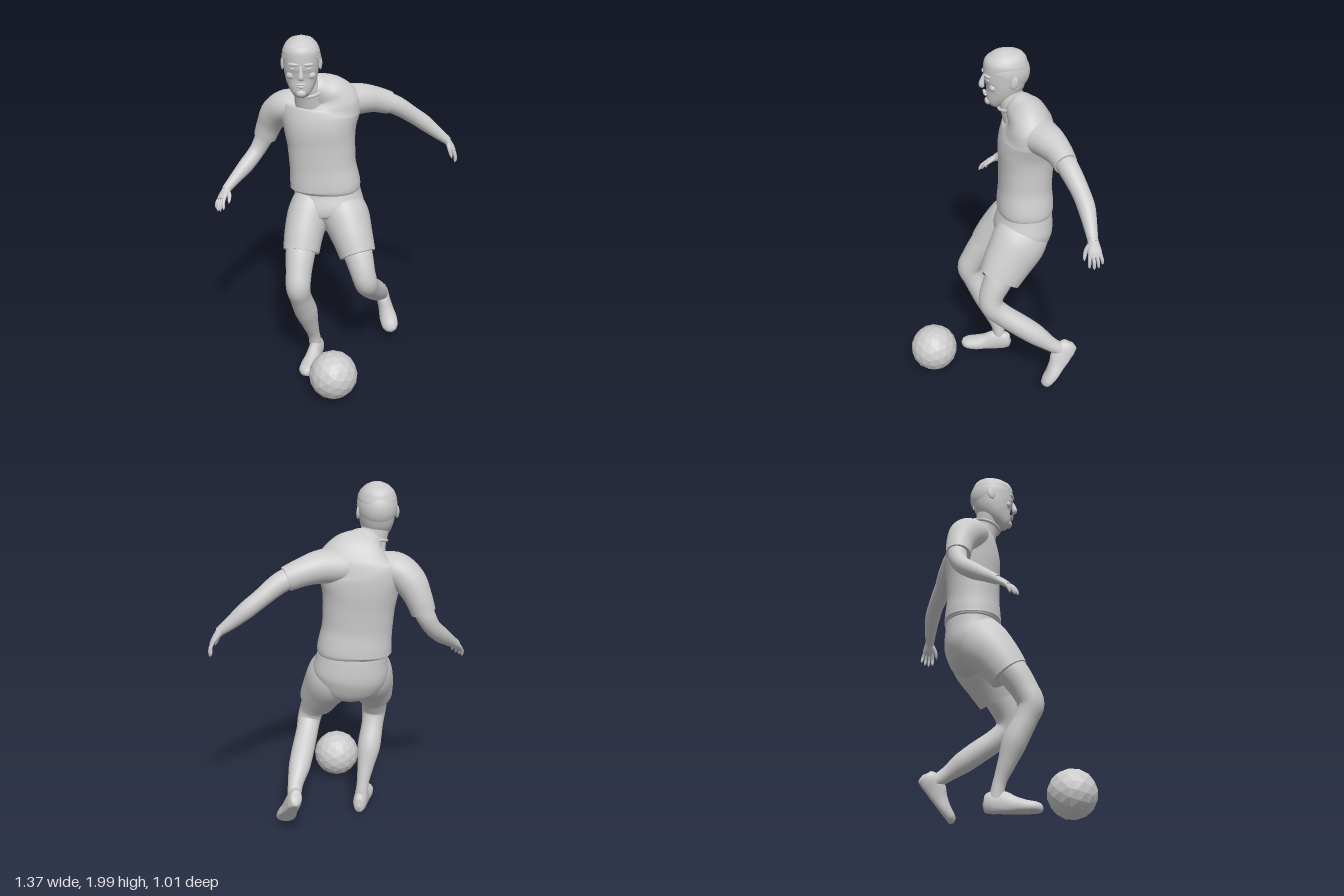
import * as THREE from 'three';

const V = (x, y, z) => new THREE.Vector3(x, y, z);
const material = new THREE.MeshStandardMaterial({ color: 0xcccccc, side: THREE.DoubleSide });

function addMesh(parent, name, geometry) {
  const mesh = new THREE.Mesh(geometry, material);
  mesh.name = name;
  parent.add(mesh);
  return mesh;
}

// Smooth tube through stations [x, y, z, radiusA, radiusB]; radiusA lies along `side`
function loft(stations, { side = V(1, 0, 0), seg = 28, sub = 5, power = 2 } = {}) {
  const path = new THREE.CatmullRomCurve3(stations.map(s => V(s[0], s[1], s[2])));
  const radii = new THREE.CatmullRomCurve3(stations.map(s => V(s[3], s[4] ?? s[3], 0)));
  const rings = (stations.length - 1) * sub;
  const pos = [], index = [];
  const sup = c => Math.sign(c) * Math.abs(c) ** (2 / power);
  for (let i = 0; i <= rings; i++) {
    const c = path.getPoint(i / rings), r = radii.getPoint(i / rings), t = path.getTangent(i / rings);
    const s = side.clone().addScaledVector(t, -side.dot(t)).normalize();
    const u = t.clone().cross(s);
    for (let j = 0; j < seg; j++) {
      const a = j / seg * Math.PI * 2;
      const p = c.clone().addScaledVector(s, r.x * sup(Math.cos(a))).addScaledVector(u, r.y * sup(Math.sin(a)));
      pos.push(p.x, p.y, p.z);
      if (i < rings) {
        const k = i * seg, n = (j + 1) % seg;
        index.push(k + j, k + n, k + seg + n, k + j, k + seg + n, k + seg + j);
      }
    }
  }
  // End caps with their own corners so the rim stays sharp
  for (const [ring, end] of [[0, 0], [rings, stations.length - 1]]) {
    const base = pos.length / 3;
    pos.push(...pos.slice(ring * seg * 3, (ring + 1) * seg * 3), ...stations[end].slice(0, 3));
    for (let j = 0; j < seg; j++) {
      const n = (j + 1) % seg;
      index.push(base + seg, base + (ring ? j : n), base + (ring ? n : j));
    }
  }
  const g = new THREE.BufferGeometry();
  g.setAttribute('position', new THREE.Float32BufferAttribute(pos, 3));
  g.setIndex(index);
  g.computeVertexNormals();
  return g;
}

function blob(parent, name, [x, y, z], [rx, ry, rz]) {
  const m = addMesh(parent, name, new THREE.SphereGeometry(1, 20, 14));
  m.position.set(x, y, z);
  m.scale.set(rx, ry, rz);
  return m;
}

// Group whose local z runs along `dir` and local x along `side`
function orientedGroup(parent, name, origin, dir, side) {
  const g = new THREE.Group();
  g.name = name;
  const z = dir.clone().normalize();
  const x = side.clone().addScaledVector(z, -side.dot(z)).normalize();
  g.quaternion.setFromRotationMatrix(new THREE.Matrix4().makeBasis(x, z.clone().cross(x), z));
  g.position.copy(origin);
  parent.add(g);
  return g;
}

// Palm, four fingers and a thumb; the thumb is on the `side` edge
function hand(parent, name, wrist, dir, side, curl) {
  const g = orientedGroup(parent, name, wrist, dir, side);
  addMesh(g, 'palm', loft([[0, 0, -0.02, 0.026, 0.024], [0, 0, 0.02, 0.031, 0.02],
    [0, 0, 0.055, 0.036, 0.017], [0, 0, 0.08, 0.033, 0.011]], { seg: 18 }));
  [0.028, 0.0095, -0.009, -0.027].forEach((x, i) => {
    const l = [0.068, 0.078, 0.074, 0.058][i];
    addMesh(g, 'finger', loft([[x * 0.9, 0, 0.06, 0.01], [x * 1.15, curl * 0.007, 0.07 + l * 0.45, 0.0092],
      [x * 1.25, curl * 0.022, 0.066 + l * 0.85, 0.008], [x * 1.25, curl * 0.03, 0.066 + l, 0.002]], { seg: 10, sub: 4 }));
  });
  addMesh(g, 'thumb', loft([[0.016, 0, 0.012, 0.014], [0.04, curl * 0.01, 0.04, 0.012],
    [0.053, curl * 0.02, 0.075, 0.009], [0.056, curl * 0.025, 0.092, 0.002]], { seg: 10, sub: 4 }));
}

// Shoe with a flat sole at local y = 0, heel at local z = 0
function foot(parent, name, heel, dir, side) {
  const g = orientedGroup(parent, name, heel, dir, side);
  const shoe = loft([[0, 0.045, 0, 0.004, 0.004], [0, 0.045, 0.012, 0.03, 0.045], [0, 0.05, 0.05, 0.041, 0.066],
    [0, 0.045, 0.1, 0.042, 0.07], [0, 0.03, 0.16, 0.046, 0.056], [0, 0.02, 0.22, 0.054, 0.045],
    [0, 0.018, 0.275, 0.05, 0.036], [0, 0.018, 0.305, 0.03, 0.024], [0, 0.018, 0.316, 0.003, 0.003]]);
  const p = shoe.attributes.position;
  for (let i = 0; i < p.count; i++) p.setY(i, Math.max(p.getY(i), 0));
  shoe.computeVertexNormals();
  addMesh(g, 'shoe', shoe);
}

function buildHead(parent) {
  const head = new THREE.Group();
  head.name = 'head';
  head.position.set(-0.185, 0, -0.062);
  head.rotation.y = 0.13;
  parent.add(head);
  addMesh(head, 'skull', loft([[0, 1.685, 0.085, 0.018, 0.015], [0, 1.695, 0.076, 0.042, 0.036],
    [0, 1.725, 0.055, 0.064, 0.062], [0, 1.765, 0.03, 0.083, 0.09], [0, 1.81, 0.012, 0.093, 0.112],
    [0, 1.865, 0.003, 0.099, 0.12], [0, 1.915, 0, 0.102, 0.121], [0, 1.955, -0.003, 0.088, 0.106],
    [0, 1.983, -0.003, 0.06, 0.073], [0, 1.995, -0.003, 0.01, 0.01]], { seg: 36, power: 2.15 }));
  // Close-cropped hair cap, tipped back
  const hair = addMesh(head, 'hair', new THREE.SphereGeometry(1, 40, 20, 0, Math.PI * 2, 0, Math.PI * 0.53));
  hair.scale.set(0.107, 0.122, 0.129);
  hair.position.set(0, 1.878, -0.002);
  hair.rotation.x = -0.43;
  addMesh(head, 'nose', loft([[0, 1.865, 0.118, 0.008, 0.008], [0, 1.835, 0.128, 0.011, 0.013],
    [0, 1.805, 0.133, 0.018, 0.016], [0, 1.793, 0.126, 0.014, 0.01]], { seg: 14 }));
  blob(head, 'upperLip', [0, 1.763, 0.117], [0.029, 0.006, 0.01]);
  blob(head, 'lowerLip', [0, 1.75, 0.114], [0.024, 0.007, 0.01]);
  blob(head, 'chin', [0, 1.708, 0.1], [0.028, 0.02, 0.017]);
  for (const s of [-1, 1]) {
    blob(head, 'brow', [s * 0.04, 1.872, 0.11], [0.031, 0.009, 0.014]).rotation.y = s * 0.35;
    blob(head, 'eye', [s * 0.039, 1.847, 0.104], [0.018, 0.008, 0.012]);
    blob(head, 'cheek', [s * 0.053, 1.806, 0.083], [0.026, 0.022, 0.02]);
    const ear = blob(head, 'ear', [s * 0.103, 1.845, -0.022], [0.01, 0.037, 0.022]);
    ear.rotation.set(-0.2, s * -0.25, 0);
  }
}

export function createModel() {
  const model = new THREE.Group();
  model.name = 'footballer';
  const along = V(0, 0, 1);

  // Head and neck
  buildHead(model);
  addMesh(model, 'neck', loft([[-0.15, 1.6, -0.125, 0.085, 0.08], [-0.16, 1.69, -0.095, 0.075, 0.07],
    [-0.178, 1.76, -0.08, 0.073, 0.072], [-0.183, 1.82, -0.075, 0.07, 0.07]]));
  const collar = addMesh(model, 'collar', new THREE.TorusGeometry(0.08, 0.009, 10, 36));
  collar.position.set(-0.158, 1.695, -0.097);
  collar.rotation.x = Math.PI / 2 + 0.29;

  // Shirt body, with the hem hanging over the shorts
  addMesh(model, 'shirtBody', loft([[-0.07, 1.085, -0.165, 0.192, 0.148], [-0.07, 1.105, -0.165, 0.204, 0.16],
    [-0.075, 1.15, -0.165, 0.2, 0.158], [-0.085, 1.24, -0.165, 0.191, 0.15], [-0.093, 1.36, -0.168, 0.194, 0.152],
    [-0.1, 1.46, -0.17, 0.207, 0.158], [-0.1, 1.55, -0.178, 0.226, 0.15], [-0.095, 1.61, -0.178, 0.222, 0.132],
    [-0.105, 1.655, -0.165, 0.17, 0.108], [-0.13, 1.69, -0.135, 0.105, 0.085], [-0.155, 1.71, -0.11, 0.07, 0.066]],
    { seg: 44, power: 2.3 }));
  // Sleeves
  addMesh(model, 'leftSleeve', loft([[-0.1, 1.585, -0.18, 0.11, 0.085], [0.02, 1.595, -0.215, 0.115, 0.092],
    [0.12, 1.597, -0.265, 0.094, 0.086], [0.2, 1.582, -0.305, 0.074, 0.074], [0.28, 1.555, -0.335, 0.063, 0.066]], { side: along }));
  addMesh(model, 'rightSleeve', loft([[-0.2, 1.575, -0.17, 0.09, 0.08], [-0.29, 1.565, -0.19, 0.105, 0.09],
    [-0.36, 1.51, -0.22, 0.092, 0.088], [-0.405, 1.43, -0.243, 0.076, 0.074], [-0.435, 1.35, -0.25, 0.068, 0.066]], { side: along }));

  // Arms and hands
  addMesh(model, 'leftArm', loft([[0.18, 1.585, -0.3, 0.057], [0.3, 1.545, -0.345, 0.056], [0.41, 1.468, -0.395, 0.048],
    [0.48, 1.415, -0.418, 0.046], [0.56, 1.35, -0.43, 0.035], [0.625, 1.3, -0.436, 0.026, 0.024]], { side: along }));
  addMesh(model, 'rightArm', loft([[-0.4, 1.44, -0.24, 0.057], [-0.445, 1.335, -0.255, 0.053], [-0.485, 1.26, -0.235, 0.046],
    [-0.535, 1.195, -0.175, 0.045], [-0.59, 1.135, -0.105, 0.034], [-0.635, 1.085, -0.045, 0.026, 0.025]]));
  hand(model, 'leftHand', V(0.62, 1.303, -0.436), V(0.55, -0.8, -0.12), along, 1);
  hand(model, 'rightHand', V(-0.63, 1.09, -0.05), V(-0.3, -0.55, 0.8), V(0.75, 0.25, 0.6), -1);

  // Shorts
  addMesh(model, 'shortsSeat', loft([[-0.065, 1.12, -0.165, 0.185, 0.145], [-0.058, 1.06, -0.165, 0.194, 0.155],
    [-0.05, 0.98, -0.155, 0.208, 0.168], [-0.04, 0.91, -0.14, 0.19, 0.155], [-0.035, 0.86, -0.115, 0.11, 0.11],
    [-0.03, 0.84, -0.1, 0.03, 0.03]], { seg: 40, power: 2.2 }));
  addMesh(model, 'leftShortsLeg', loft([[-0.01, 1.02, -0.17, 0.12, 0.14], [0.05, 0.93, -0.125, 0.14, 0.16],
    [0.1, 0.83, -0.06, 0.122, 0.145], [0.14, 0.735, -0.005, 0.106, 0.124]]));
  addMesh(model, 'rightShortsLeg', loft([[-0.13, 1.02, -0.165, 0.115, 0.14], [-0.158, 0.94, -0.105, 0.122, 0.15],
    [-0.177, 0.85, -0.03, 0.114, 0.132], [-0.185, 0.755, 0.035, 0.105, 0.115]]));

  // Legs and feet
  addMesh(model, 'leftLeg', loft([[0.1, 0.83, -0.06, 0.088], [0.145, 0.73, 0, 0.084], [0.18, 0.63, 0.045, 0.071],
    [0.195, 0.575, 0.04, 0.068], [0.205, 0.52, -0.015, 0.064], [0.225, 0.445, -0.125, 0.065], [0.24, 0.39, -0.205, 0.062],
    [0.258, 0.325, -0.295, 0.044], [0.262, 0.28, -0.36, 0.038], [0.265, 0.245, -0.4, 0.036]]));
  addMesh(model, 'rightLeg', loft([[-0.17, 0.88, -0.05, 0.09], [-0.185, 0.77, 0.05, 0.087], [-0.188, 0.66, 0.12, 0.075],
    [-0.187, 0.58, 0.153, 0.071], [-0.178, 0.5, 0.125, 0.064], [-0.16, 0.39, 0.07, 0.068], [-0.14, 0.27, 0.025, 0.05],
    [-0.122, 0.16, -0.015, 0.036], [-0.115, 0.08, -0.03, 0.038]]));
  foot(model, 'leftFoot', V(0.245, 0.285, -0.465), V(0.09, -0.22, 0.19), V(1, 0.25, -0.15));
  foot(model, 'rightFoot', V(-0.1, 0.008, -0.1), V(-0.045, 0, 0.315), V(1, 0, 0));

  // Faceted ball
  const ball = addMesh(model, 'ball', new THREE.IcosahedronGeometry(0.139, 2));
  ball.material = new THREE.MeshStandardMaterial({ color: 0xcccccc, flatShading: true });
  ball.position.set(0.045, 0.157, 0.385);
  ball.rotation.set(0.2, 0.3, 0.1);
  return model;
}
